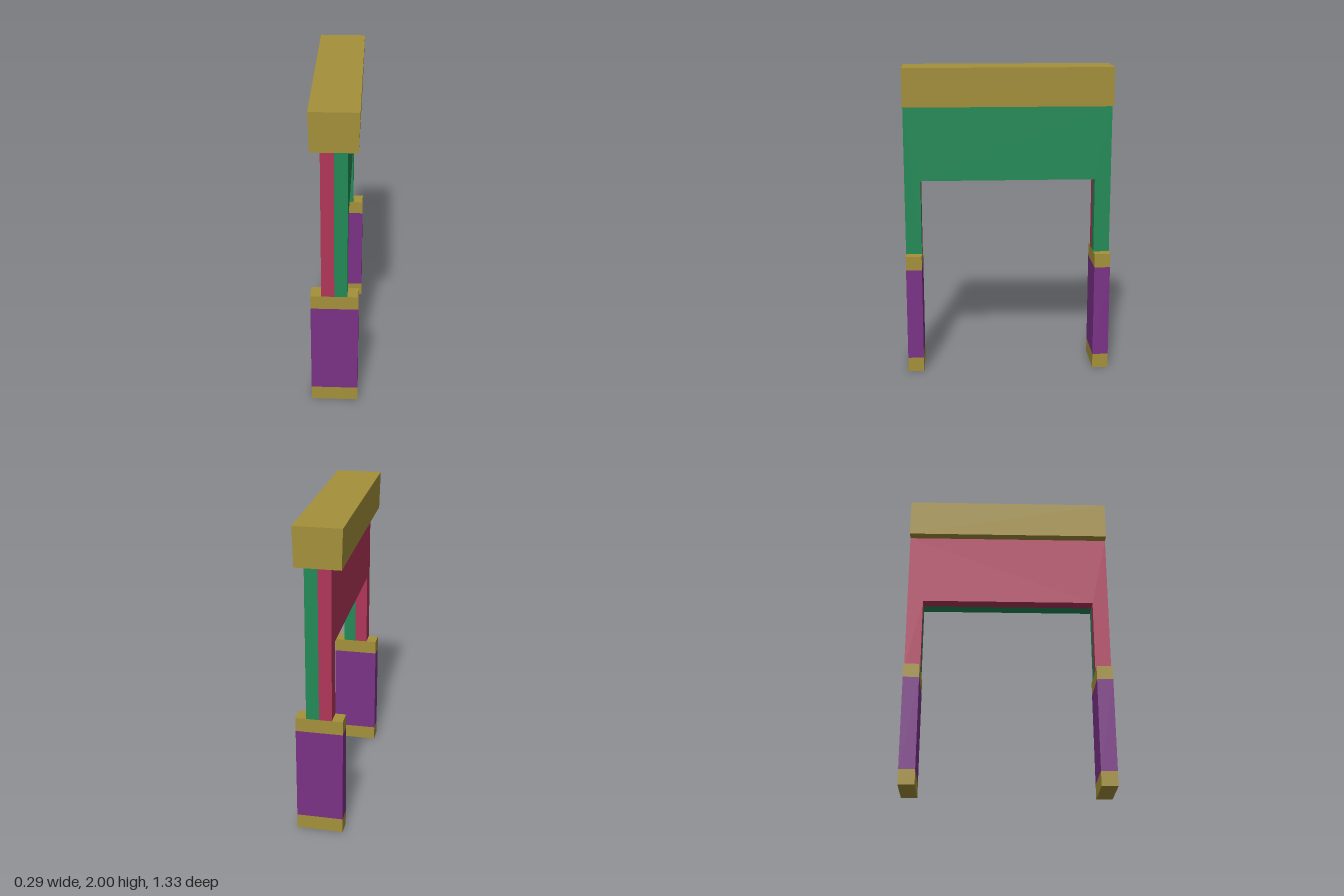
import * as THREE from 'three';

const HALF_Z = 0.665, HALF_X = 0.147, LEG = 0.103, PANEL = 0.08;
const GOLD = 0xa4903a, PURPLE = 0x7a3286, GREEN = 0x238a57, RED = 0xb03659;

function add(parent, name, geometry, color) {
  const mesh = new THREE.Mesh(geometry, new THREE.MeshStandardMaterial({ color, flatShading: true }));
  mesh.name = name;
  parent.add(mesh);
  return mesh;
}

// Outline in z and y, extruded along x and starting at x = start
function extrudeAlongX(shape, depth, start) {
  return new THREE.ExtrudeGeometry(shape, { depth, bevelEnabled: false })
    .rotateY(Math.PI / 2).translate(start, 0, 0);
}

export function createModel() {
  const model = new THREE.Group();
  model.name = 'archFrame';

  // Upright arch made of two coloured halves
  const inner = HALF_Z - LEG;
  const arch = new THREE.Shape([
    [-HALF_Z, 0.79], [-inner, 0.79], [-inner, 1.275], [inner, 1.275],
    [inner, 0.79], [HALF_Z, 0.79], [HALF_Z, 1.755], [-HALF_Z, 1.755],
  ].map(([z, y]) => new THREE.Vector2(z, y)));
  add(model, 'leftArchHalf', extrudeAlongX(arch, PANEL, 0), GREEN);
  add(model, 'rightArchHalf', extrudeAlongX(arch, PANEL, -PANEL), RED);

  // Top beam, slightly narrower at its underside
  const beam = new THREE.Shape([
    [-0.14, 1.755], [0.14, 1.755], [HALF_X, 2], [-HALF_X, 2],
  ].map(([x, y]) => new THREE.Vector2(x, y)));
  const beamGeometry = new THREE.ExtrudeGeometry(beam, { depth: 2 * HALF_Z, bevelEnabled: false });
  add(model, 'topBeam', beamGeometry.translate(0, 0, -HALF_Z), GOLD);

  // Front and back feet: a purple block between two bands
  for (const [name, side] of [['frontFoot', 1], ['backFoot', -1]]) {
    const foot = new THREE.Group();
    foot.name = name;
    foot.position.z = side * (HALF_Z - LEG / 2);
    for (const [part, y0, y1, color] of [
      ['lowerBand', 0, 0.095, GOLD],
      ['footBlock', 0.095, 0.7, PURPLE],
      ['upperBand', 0.7, 0.79, GOLD],
    ]) {
      const block = add(foot, part, new THREE.BoxGeometry(2 * HALF_X, y1 - y0, LEG), color);
      block.position.y = (y0 + y1) / 2;
    }
    model.add(foot);
  }
  return model;
}
